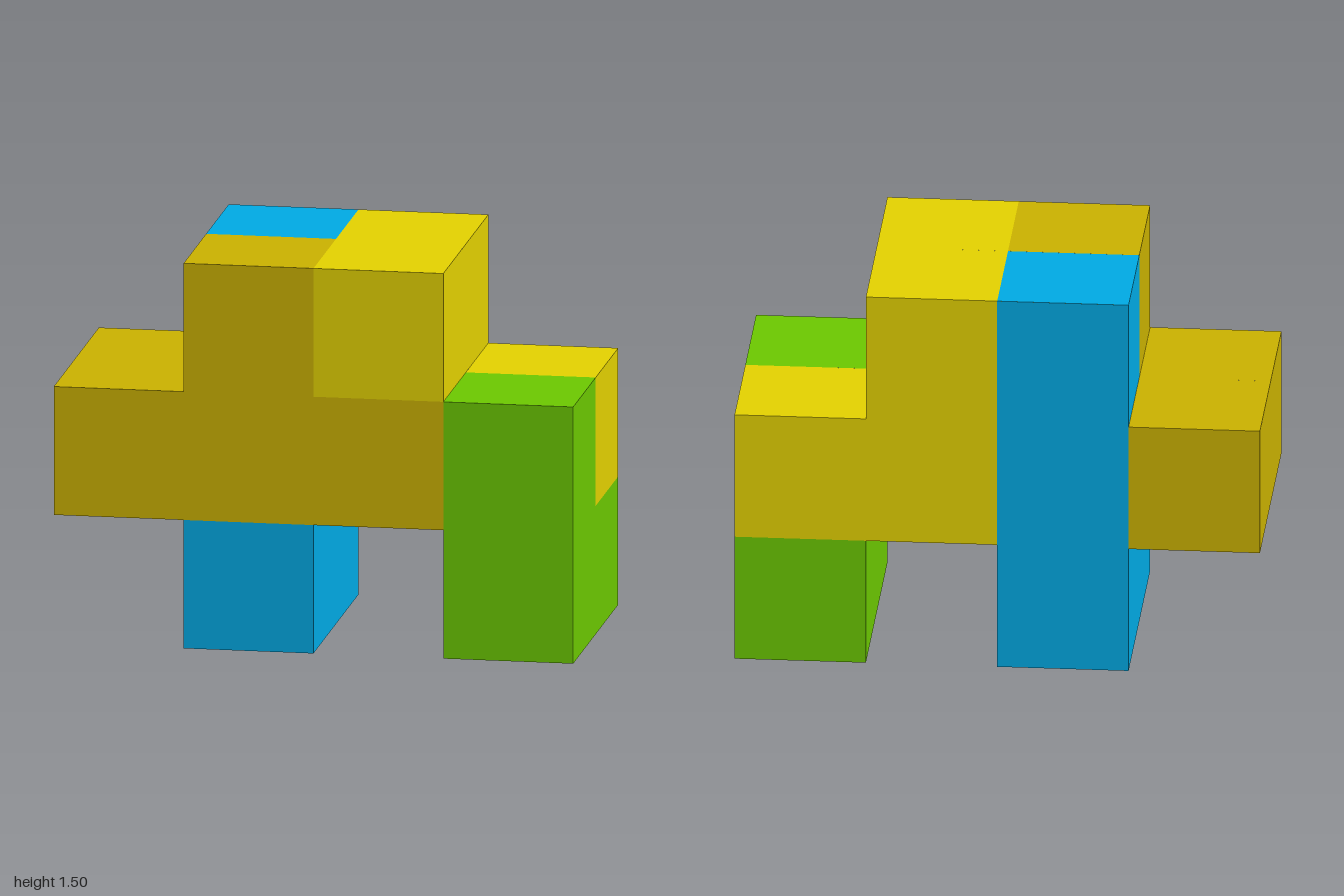
import * as THREE from 'three';
import { mergeGeometries } from 'three/addons/utils/BufferGeometryUtils.js';

const CELL = 0.5;
const DIRECTIONS = [[1, 0, 0], [-1, 0, 0], [0, 1, 0], [0, -1, 0], [0, 0, 1], [0, 0, -1]];

// Each puzzle piece is a list of unit cells [column, row, depth]:
// columns run from -x to +x, rows from the ground up, depth 0 = back, 1 = front.
const PIECES = [
  { name: 'ochrePiece', colour: 'ochre', hex: 0xcbb200,
    cells: [[0, 1, 0], [0, 1, 1], [1, 1, 1], [2, 1, 1], [1, 2, 1]] },
  { name: 'yellowPiece', colour: 'yellow', hex: 0xe4d200,
    cells: [[2, 2, 1], [2, 2, 0], [2, 1, 0], [3, 1, 0]] },
  { name: 'bluePiece', colour: 'blue', hex: 0x00abe5,
    cells: [[1, 0, 1], [1, 0, 0], [1, 1, 0], [1, 2, 0]] },
  { name: 'greenPiece', colour: 'green', hex: 0x6cc900,
    cells: [[3, 0, 0], [3, 0, 1], [3, 1, 1]] },
];

// Closed solid from cells: one square per side that has no neighbour in the same piece
function pieceGeometry(cells) {
  const filled = new Set(cells.map(String));
  const faces = [];
  for (const [i, j, k] of cells) {
    const centre = new THREE.Vector3(i - 1.5, j + 0.5, k - 0.5).multiplyScalar(CELL);
    for (const [dx, dy, dz] of DIRECTIONS) {
      if (filled.has(String([i + dx, j + dy, k + dz]))) continue;
      const normal = new THREE.Vector3(dx, dy, dz);
      const offset = centre.clone().addScaledVector(normal, CELL / 2);
      const face = new THREE.PlaneGeometry(CELL, CELL);
      face.lookAt(normal);
      face.translate(offset.x, offset.y, offset.z);
      faces.push(face);
    }
  }
  return mergeGeometries(faces);
}

export function createModel() {
  const model = new THREE.Group();
  model.name = 'blockPuzzle';
  for (const { name, colour, hex, cells } of PIECES) {
    const material = new THREE.MeshStandardMaterial({ color: hex });
    material.name = colour;
    const mesh = new THREE.Mesh(pieceGeometry(cells), material);
    mesh.name = name;
    model.add(mesh);
  }
  return model;
}
